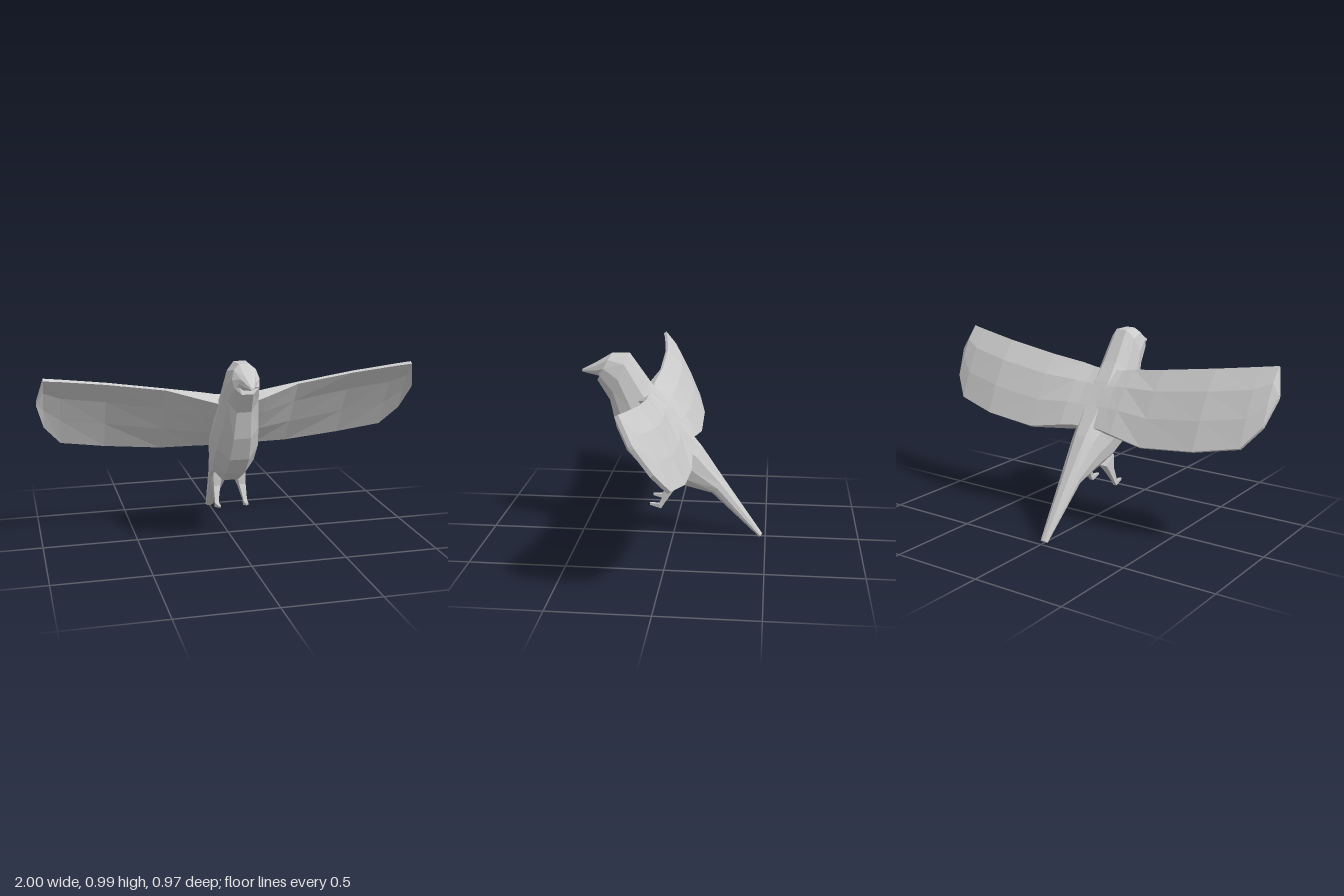
import * as THREE from 'three';

// Skin a list of equal-length point rings, with closed ends, faceted and facing outward.
function loft(name, rings) {
  const tris = [];
  const n = rings[0].length;
  for (let i = 0; i < rings.length - 1; i++) {
    const p = rings[i], q = rings[i + 1];
    for (let j = 0; j < n; j++) {
      const k = (j + 1) % n;
      tris.push([p[j], p[k], q[k]], [p[j], q[k], q[j]]);
    }
  }
  const last = rings[rings.length - 1];
  for (let j = 1; j < n - 1; j++) {
    tris.push([rings[0][0], rings[0][j + 1], rings[0][j]], [last[0], last[j], last[j + 1]]);
  }
  // the sign of the enclosed volume tells whether the faces look outward
  const volume = tris.reduce((s, [a, b, c]) => s + a.dot(b.clone().cross(c)), 0);
  const points = tris.flatMap(([a, b, c]) => (volume < 0 ? [a, c, b] : [a, b, c]));
  const geometry = new THREE.BufferGeometry().setFromPoints(points);
  geometry.computeVertexNormals();
  const material = new THREE.MeshStandardMaterial({ color: 0xcccccc, flatShading: true });
  const mesh = new THREE.Mesh(geometry, material);
  mesh.name = name;
  return mesh;
}

const V = (x, y, z) => new THREE.Vector3(x, y, z);

// Body from beak to tail: belly z, y; back z, y; half width
const BODY = [
  [0.485, 0.897, 0.482, 0.911, 0.010],
  [0.390, 0.879, 0.405, 0.950, 0.045],
  [0.400, 0.860, 0.325, 0.997, 0.070],
  [0.333, 0.755, 0.235, 0.997, 0.088],
  [0.300, 0.610, 0.125, 0.840, 0.105],
  [0.245, 0.485, 0.045, 0.745, 0.120],
  [0.155, 0.385, -0.035, 0.635, 0.122],
  [0.055, 0.320, -0.100, 0.555, 0.100],
  [-0.050, 0.295, -0.150, 0.495, 0.085],
  [-0.210, 0.250, -0.270, 0.320, 0.056],
  [-0.465, 0.003, -0.482, 0.017, 0.022],
];

// Half of a body cross-section: share of the width, share of the way from belly to back
const BODY_SHAPE = [[0.42, 0], [0.9, 0.22], [1, 0.5], [0.8, 0.82], [0.35, 1]];

function bodyRing([fz, fy, bz, by, w]) {
  const half = BODY_SHAPE.map(([s, t]) =>
    V(s * w, THREE.MathUtils.lerp(fy, by, t), THREE.MathUtils.lerp(fz, bz, t)));
  const mirrored = half.map((p) => V(-p.x, p.y, p.z)).reverse();
  return [...half, ...mirrored];
}

// Wing from root to tip: x; leading y, z; trailing y, z; edge thickness, middle thickness
const WING = [
  [0.02, 0.80, 0.110, 0.53, -0.100, 0.070, 0.090],
  [0.09, 0.805, 0.115, 0.53, -0.105, 0.072, 0.100],
  [0.16, 0.818, 0.115, 0.52, -0.115, 0.060, 0.085],
  [0.35, 0.845, 0.098, 0.485, -0.125, 0.016, 0.036],
  [0.65, 0.890, 0.100, 0.515, -0.120, 0.016, 0.024],
  [0.88, 0.923, 0.128, 0.560, -0.075, 0.018, 0.022],
  [0.965, 0.935, 0.143, 0.665, -0.010, 0.020, 0.020],
  [1.0, 0.810, 0.080, 0.795, 0.072, 0.020, 0.020],
];

function wingRing([x, ly, lz, ty, tz, edge, mid], side) {
  const up = [0.54, -0.84]; // direction of the upper surface in y and z
  const chord = Math.hypot(ly - ty, lz - tz);
  const at = (t, lift) => V(
    side * x,
    THREE.MathUtils.lerp(ly, ty, t) + up[0] * lift,
    THREE.MathUtils.lerp(lz, tz, t) + up[1] * lift,
  );
  const camber = 0.05 * chord;
  return [
    at(0, 0), at(0.3, camber), at(0.65, camber * 0.8), at(1, 0),
    at(1, -edge), at(0.65, camber * 0.8 - mid), at(0.3, camber - mid), at(0, -edge),
  ];
}

// Leg down to the toe: centre x, y, z; half width; half depth as y, z
const LEG = [
  [0.062, 0.335, 0.000, 0.026, 0.025, 0.034],
  [0.070, 0.275, 0.018, 0.018, 0.010, 0.017],
  [0.078, 0.205, 0.055, 0.010, 0.006, 0.010],
  [0.078, 0.188, 0.066, 0.011, 0.013, 0.006],
  [0.075, 0.196, 0.120, 0.007, 0.005, 0.001],
];

function legRing([x, y, z, w, dy, dz], side) {
  return [
    V(side * (x + w), y + dy, z + dz), V(side * (x - w), y + dy, z + dz),
    V(side * (x - w), y - dy, z - dz), V(side * (x + w), y - dy, z - dz),
  ];
}

export function createModel() {
  const bird = new THREE.Group();
  bird.name = 'bird';
  bird.add(loft('body', BODY.map(bodyRing)));
  for (const [label, side] of [['left', 1], ['right', -1]]) {
    bird.add(loft(`${label}Wing`, WING.map((s) => wingRing(s, side))));
    bird.add(loft(`${label}Leg`, LEG.map((s) => legRing(s, side))));
  }
  return bird;
}
